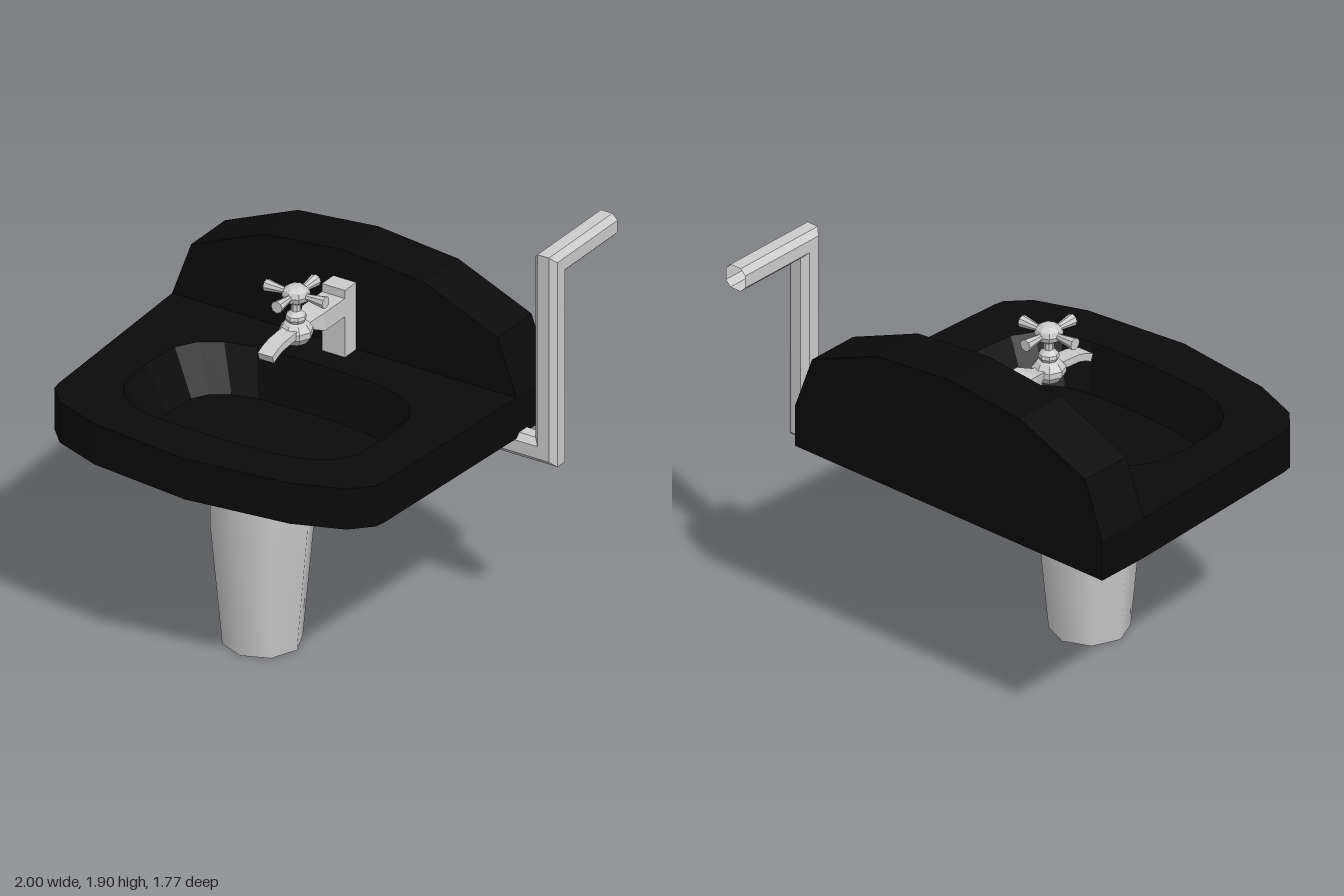
import * as THREE from 'three';

const CX = -0.1; // centre line of basin, tap and pedestal

const material = (color, flatShading = true) =>
  new THREE.MeshStandardMaterial({ color, flatShading, side: THREE.DoubleSide });
const grey = material(0xcccccc);
const smoothGrey = material(0xcccccc, false);
const black = material(0x0a0a0a);

function add(parent, name, geometry, mat, x = 0, y = 0, z = 0) {
  const mesh = new THREE.Mesh(geometry, mat);
  mesh.name = name;
  mesh.position.set(x, y, z);
  parent.add(mesh);
  return mesh;
}

// Skin of quads joining successive cross-sections (arrays of [x, y, z])
function loft(rings, closed = true) {
  const n = rings[0].length, index = [];
  for (let r = 0; r < rings.length - 1; r++) {
    for (let i = 0; i < (closed ? n : n - 1); i++) {
      const j = (i + 1) % n, a = r * n + i, b = r * n + j;
      index.push(a, b, b + n, a, b + n, a + n);
    }
  }
  const g = new THREE.BufferGeometry();
  g.setAttribute('position', new THREE.Float32BufferAttribute(rings.flat(2), 3));
  g.setIndex(index);
  g.computeVertexNormals();
  return g;
}

const shapeOf = (pts) => new THREE.Shape(pts.map(([x, y]) => new THREE.Vector2(x, y)));
const lathe = (pts, sides) =>
  new THREE.LatheGeometry(pts.map(([r, y]) => new THREE.Vector2(r, y)), sides);
// Turns a shape drawn in (x, z) to lie flat, facing up
const flat = (shape) => new THREE.ShapeGeometry(shape).scale(1, -1, 1).rotateX(-Math.PI / 2);

// Rounded rectangular loop for the bowl
function bowlLoop(rx, rz) {
  const pts = [];
  const power = (v) => Math.sign(v) * Math.abs(v) ** 0.6;
  for (let i = 0; i < 20; i++) {
    const t = (i / 20) * Math.PI * 2;
    pts.push([CX + rx * power(Math.cos(t)), 0.23 + rz * power(Math.sin(t))]);
  }
  return pts;
}

function makeBasin() {
  const basin = new THREE.Group();
  basin.name = 'basin';

  // Plan of the basin, mirrored about its centre line
  const half = [[0.9, -0.66], [0.9, -0.39], [0.85, 0.59], [0.84, 0.64], [0.75, 0.735], [0.51, 0.825]];
  const plan = [
    ...half.map(([x, z]) => [CX + x, z]),
    [CX, 0.885],
    ...half.slice().reverse().map(([x, z]) => [CX - x, z]),
  ];
  const at = (pts, y) => pts.map(([x, z]) => [x, y, z]);
  add(basin, 'skirt', loft([at(plan, 1.16), at(plan, 0.96)]), black);

  // Deck in front of the splashback, with the bowl opening
  const rim = bowlLoop(0.63, 0.41), floor = bowlLoop(0.515, 0.33);
  const deck = shapeOf(plan.slice(1, -1));
  deck.holes.push(new THREE.Path(rim.map(([x, z]) => new THREE.Vector2(x, z))));
  add(basin, 'deck', flat(deck), black, 0, 1.16, 0);
  add(basin, 'bowlWall', loft([at(rim, 1.16), at(floor, 0.955)]), black);
  add(basin, 'bowlFloor', flat(shapeOf(floor)), black, 0, 0.955, 0);

  // Hollow arched splashback
  const arch = [[0.9, 1.16], [0.8, 1.43], [0.42, 1.59], [0, 1.63], [-0.42, 1.59], [-0.8, 1.43], [-0.9, 1.16]]
    .map(([x, y]) => [CX + x, y]);
  add(basin, 'splashbackFront', new THREE.ShapeGeometry(shapeOf(arch)), black, 0, 0, -0.39);
  add(basin, 'splashbackBack', new THREE.ShapeGeometry(shapeOf(arch)).rotateY(Math.PI)
    .translate(2 * CX, 0, 0), black, 0, 0, -0.66);
  add(basin, 'splashbackEdge',
    loft([-0.66, -0.39].map((z) => arch.map(([x, y]) => [x, y, z])), false), black);
  return basin;
}

function makePedestal() {
  const pedestal = new THREE.Group();
  pedestal.name = 'pedestal';
  pedestal.position.set(-0.095, 0, 0.27);
  add(pedestal, 'column', lathe([[0.18, 0], [0.235, 0.6], [0.235, 0.8]], 8), smoothGrey);
  add(pedestal, 'flange', lathe([[0.235, 0.8], [0.42, 0.89], [0.42, 0.93]], 8), grey);
  return pedestal;
}

// Chamfered square pipe with two mitred elbows and open ends
function makePipe() {
  const f = 0.03, w = 0.057;
  const section = [[w, f], [f, w], [-f, w], [-w, f], [-w, -f], [-f, -w], [f, -w], [w, -f]];
  const X = 0.943, LOW = 0.925, HIGH = 1.845, Z = -0.44;
  return loft([
    section.map(([a, b]) => [-0.31, LOW + a, Z + b]),
    section.map(([a, b]) => [X - a, LOW + a, Z + b]),
    section.map(([a, b]) => [X - a, HIGH + b, Z + b]),
    section.map(([a, b]) => [X - a, HIGH + b, -0.89]),
  ]);
}

function makeTap() {
  const tap = new THREE.Group();
  tap.name = 'tap';
  tap.position.x = -0.097;

  add(tap, 'wallBlock', new THREE.BoxGeometry(0.12, 0.35, 0.09), grey, 0, 1.315, -0.343);

  // Supply arm narrowing into the valve body
  const rect = (w, y0, y1, z) => [[-w, y0, z], [w, y0, z], [w, y1, z], [-w, y1, z]];
  add(tap, 'supplyArm', loft([
    rect(0.06, 1.36, 1.45, -0.3), rect(0.06, 1.36, 1.45, -0.14),
    rect(0.03, 1.39, 1.425, -0.07), rect(0.03, 1.39, 1.425, 0),
  ]), grey);

  // Valve body, collar and stem
  add(tap, 'valveBody', lathe([
    [0, 1.355], [0.05, 1.355], [0.077, 1.39], [0.077, 1.418], [0.054, 1.447], [0.04, 1.455],
    [0.048, 1.47], [0.045, 1.487], [0.022, 1.508], [0.022, 1.56],
  ], 8), grey);

  // Drooping spout
  const side = shapeOf([[0, 1.395], [0.07, 1.395], [0.16, 1.388], [0.2, 1.375], [0.235, 1.358],
    [0.247, 1.393], [0.2, 1.413], [0.155, 1.425], [0.07, 1.432], [0, 1.432]]);
  const spout = new THREE.ExtrudeGeometry(side, { depth: 0.078, bevelEnabled: false });
  spout.rotateY(-Math.PI / 2).translate(0.039, 0, 0);
  add(tap, 'spout', spout, grey);

  // Cross handle: hub and four flared arms
  const handle = new THREE.Group();
  handle.name = 'crossHandle';
  handle.position.y = 1.587;
  tap.add(handle);
  add(handle, 'hub', new THREE.SphereGeometry(0.065, 8, 6).scale(1, 0.72, 1), grey);
  for (let i = 0; i < 4; i++) {
    const arm = new THREE.CylinderGeometry(0.029, 0.013, 0.11, 8)
      .rotateZ(-Math.PI / 2).translate(0.1, 0, 0).rotateY((i * Math.PI) / 2);
    add(handle, 'handleArm', arm, grey);
  }
  return tap;
}

export function createModel() {
  const model = new THREE.Group();
  model.name = 'washbasin';
  model.add(makeBasin(), makePedestal(), makeTap());
  add(model, 'pipe', makePipe(), grey);
  return model;
}
